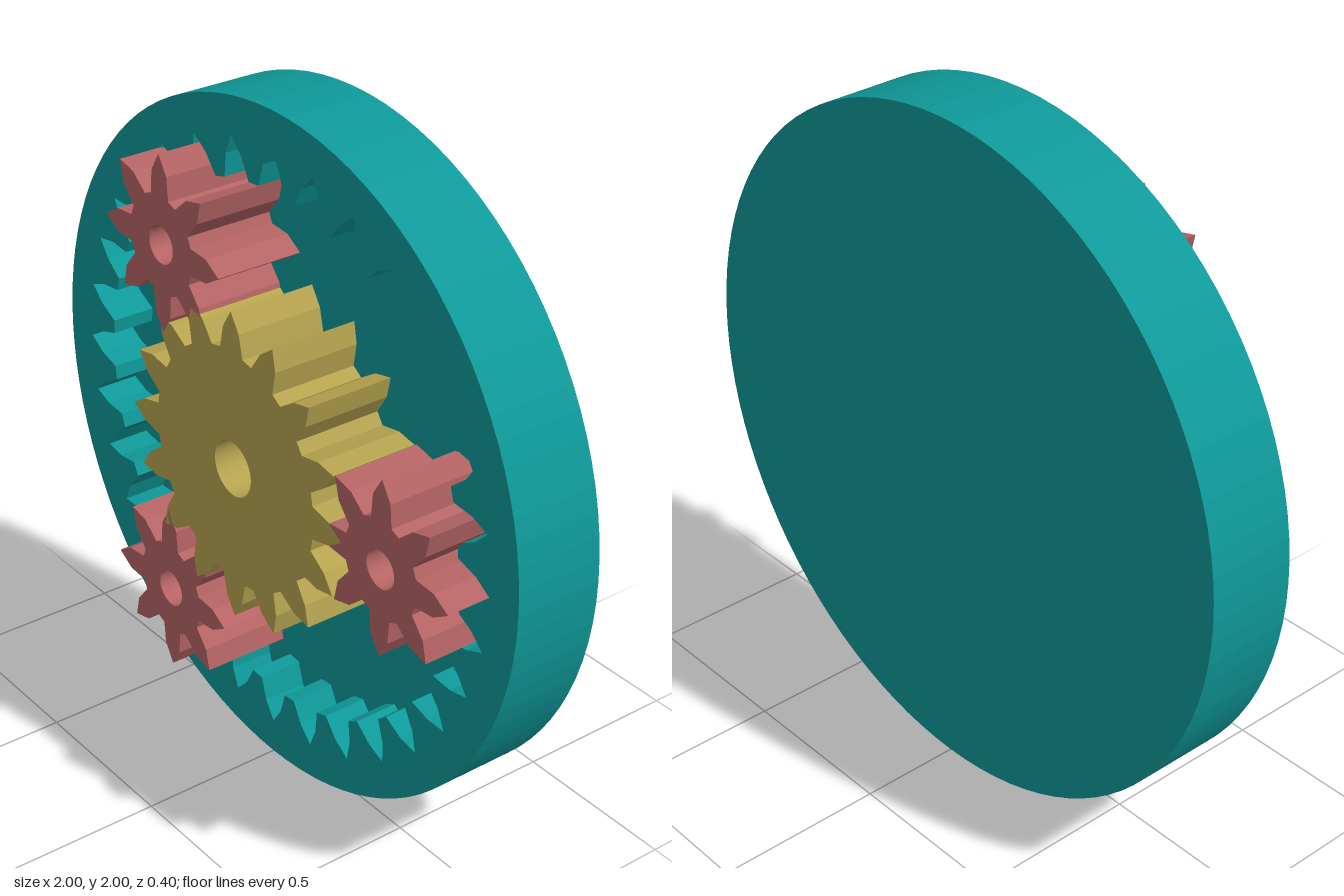
import * as THREE from 'three';

const MODULE = 0.0525; // pitch diameter divided by tooth count
const FRONT = 0.2, RIM = 0.067, FLOOR = -0.067, BACK = -0.2;

const paint = (color) => new THREE.MeshStandardMaterial({ color });

// Pointed-tooth gear outline: root, flank, tip, flank, root for every tooth
function gearPoints(teeth) {
  const pitchRadius = MODULE * teeth / 2;
  const root = pitchRadius - 1.25 * MODULE, tip = pitchRadius + MODULE;
  const half = Math.PI / teeth;
  const profile = [
    [-0.72, root], [-0.42, pitchRadius], [0, tip], [0.42, pitchRadius], [0.72, root],
  ];
  const points = [];
  for (let i = 0; i < teeth; i++) {
    for (const [t, r] of profile) {
      const a = 2 * half * i + half * t;
      points.push(new THREE.Vector2(r * Math.cos(a), r * Math.sin(a)));
    }
  }
  return points;
}

// Extrude a shape between two z planes
function plate(name, shape, z0, z1, material) {
  const geometry = new THREE.ExtrudeGeometry(shape, {
    depth: z1 - z0, bevelEnabled: false, curveSegments: 48,
  });
  geometry.translate(0, 0, z0);
  const mesh = new THREE.Mesh(geometry, material);
  mesh.name = name;
  return mesh;
}

function gear(name, teeth, bore, material) {
  const shape = new THREE.Shape(gearPoints(teeth));
  shape.holes.push(new THREE.Path().absarc(0, 0, bore, 0, Math.PI * 2, true));
  return plate(name, shape, FLOOR, FRONT, material);
}

export function createModel() {
  const model = new THREE.Group();
  model.name = 'planetaryGearSet';
  const teal = paint(0x0f9999), gold = paint(0xb5a34f), red = paint(0xb56464);

  const assembly = new THREE.Group();
  assembly.name = 'gearAssembly';
  assembly.position.y = 1;
  model.add(assembly);

  // Ring gear: toothed opening cut in a round rim
  const rim = new THREE.Shape().absarc(0, 0, 1, 0, Math.PI * 2, false);
  rim.holes.push(new THREE.Path(gearPoints(32).reverse()));
  assembly.add(plate('ringGear', rim, FLOOR, RIM, teal));

  // Closed back plate
  const disc = new THREE.Shape().absarc(0, 0, 1, 0, Math.PI * 2, false);
  assembly.add(plate('backPlate', disc, BACK, FLOOR, teal));

  // Central gear
  assembly.add(gear('sunGear', 16, 0.082, gold));

  // Three planets around it, all with the same tooth orientation
  const orbit = MODULE * (16 + 8) / 2;
  for (let i = 0; i < 3; i++) {
    const a = i * Math.PI * 2 / 3;
    const planet = gear('planetGear' + (i + 1), 8, 0.055, red);
    planet.position.set(orbit * Math.cos(a), orbit * Math.sin(a), 0);
    assembly.add(planet);
  }
  return model;
}
